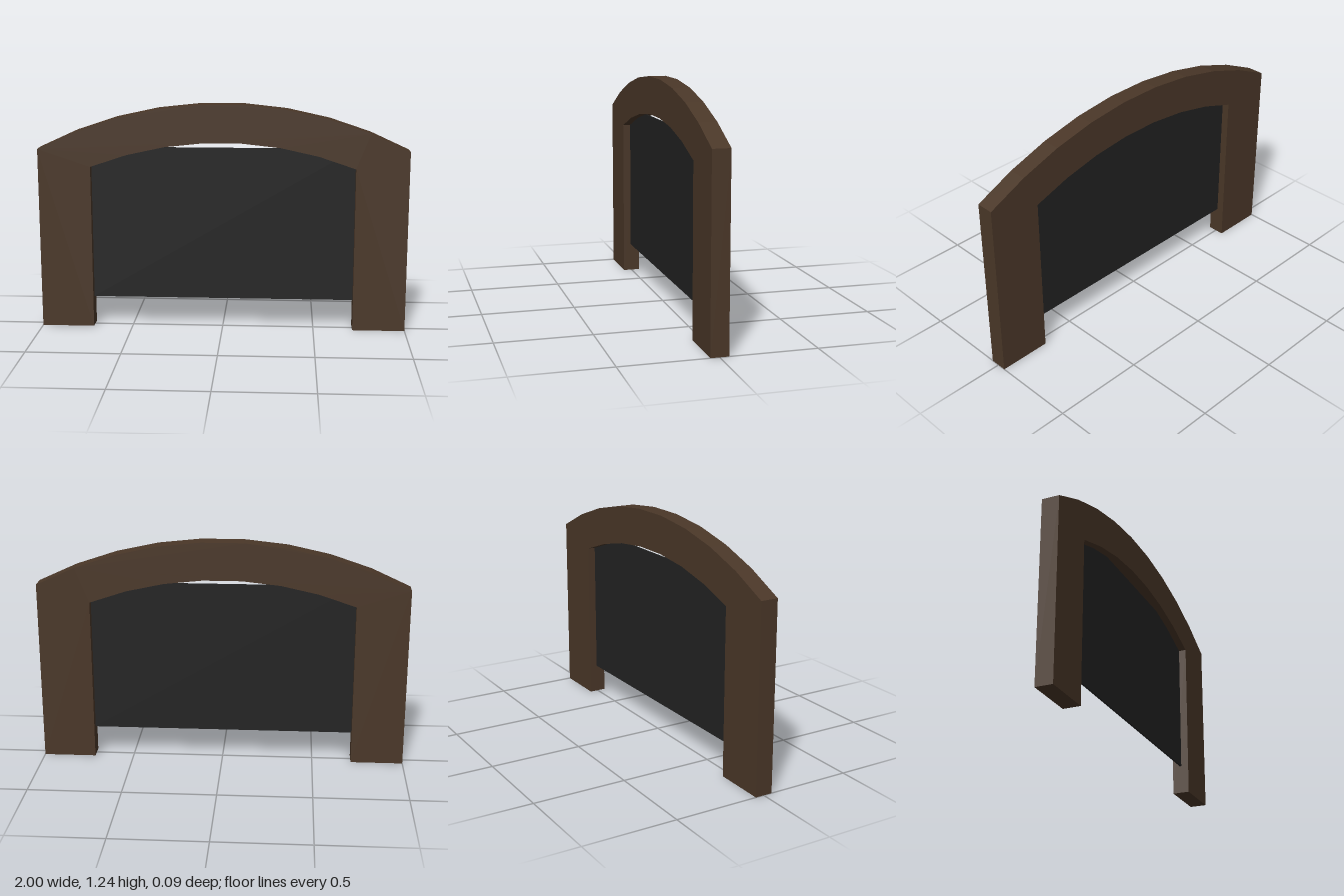
import * as THREE from 'three';

const DEPTH = 0.094;
const CENTER_Y = -0.912; // shared centre of both arcs
const STEP = THREE.MathUtils.degToRad(6.16); // angle of one arch facet

// Points of a faceted arc, from left (-x) to right (+x)
function arc(radius, segments) {
  return Array.from({ length: segments + 1 }, (_, i) => {
    const a = (i - segments / 2) * STEP;
    return new THREE.Vector2(radius * Math.sin(a), CENTER_Y + radius * Math.cos(a));
  });
}

export function createModel() {
  const wood = new THREE.MeshStandardMaterial({ color: 0x4a3728 });
  wood.name = 'darkWood';
  const dark = new THREE.MeshStandardMaterial({ color: 0x222222 });
  dark.name = 'charcoal';

  const group = new THREE.Group();
  group.name = 'archedBoard';

  // Two posts joined by the arch, as one outline
  const outer = arc(2.151, 9);
  const inner = arc(1.945, 7);
  outer[0].x = -1;
  outer[9].x = 1;
  const outline = [
    new THREE.Vector2(-1, 0),
    ...outer,
    new THREE.Vector2(1, 0),
    new THREE.Vector2(inner[7].x, 0),
    ...inner.reverse(),
    new THREE.Vector2(inner[7].x, 0),
  ];
  const frameGeometry = new THREE.ExtrudeGeometry(new THREE.Shape(outline), { depth: DEPTH, bevelEnabled: false });
  frameGeometry.translate(0, 0, -DEPTH / 2);
  const frame = new THREE.Mesh(frameGeometry, wood);
  frame.name = 'archFrame';
  group.add(frame);

  // Thin panel between the posts, just below the crown of the arch
  const panel = new THREE.Mesh(new THREE.BoxGeometry(1.43, 0.84, 0.009), dark);
  panel.name = 'panel';
  panel.position.y = 0.58;
  group.add(panel);

  return group;
}
